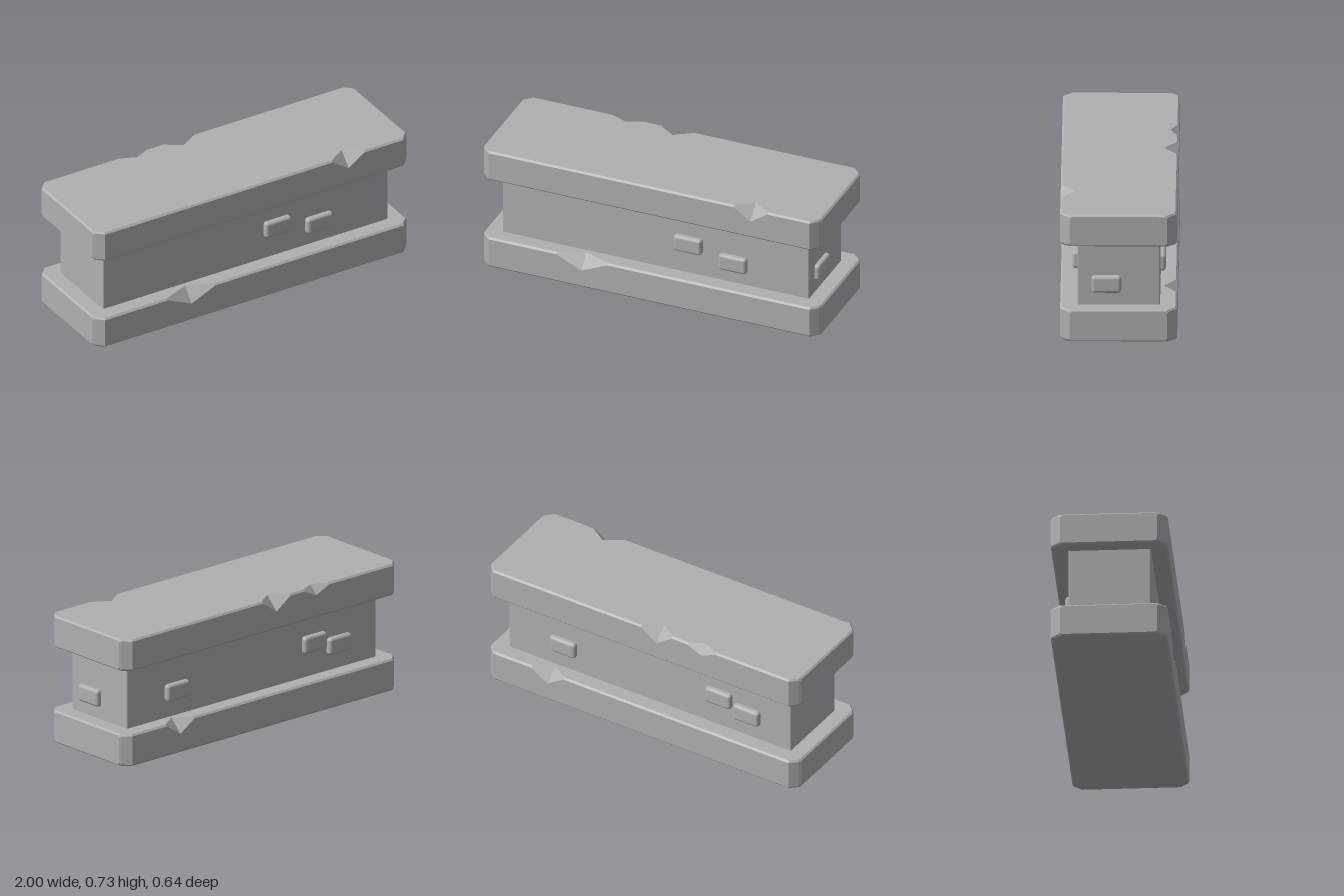
import * as THREE from 'three';
import { RoundedBoxGeometry } from 'three/addons/geometries/RoundedBoxGeometry.js';

const BEVEL = 0.01, CHAMFER = 0.05, HALF_X = 1, HALF_Z = 0.318;

// Slab lofted along x from eight-point sections; chips are deeper cuts in a top edge.
// chip: { x, w: half width, dy: drop, dz: inset, side: +1 front / -1 back }
function slabGeometry(y0, y1, chips) {
  const stations = [-HALF_X, -HALF_X + BEVEL, -HALF_X + CHAMFER, HALF_X - CHAMFER, HALF_X - BEVEL, HALF_X];
  chips.forEach(c => stations.push(c.x - c.w, c.x, c.x + c.w));
  stations.sort((a, b) => a - b);

  const cut = (x, side) => {
    let dy = BEVEL, dz = BEVEL;
    for (const c of chips) {
      if (c.side !== side) continue;
      const t = Math.max(0, 1 - Math.abs(x - c.x) / c.w);
      dy = Math.max(dy, c.dy * t);
      dz = Math.max(dz, c.dz * t);
    }
    return [dy, dz];
  };

  const sections = stations.map(x => {
    const end = Math.max(0, Math.abs(x) - (HALF_X - CHAMFER));
    const inset = Math.abs(x) === HALF_X ? BEVEL * 0.8 : 0;
    const h = HALF_Z - end - inset * 0.5, top = y1 - inset, low = y0 + inset;
    const [by, bz] = cut(x, -1), [fy, fz] = cut(x, 1);
    return [
      [top, -h + bz], [top, h - fz], [top - fy, h], [low + BEVEL, h],
      [low, h - BEVEL], [low, -h + BEVEL], [low + BEVEL, -h], [top - by, -h],
    ].map(([y, z]) => [x, y, z]);
  });

  const pos = [];
  const tri = (a, b, c) => pos.push(...a, ...b, ...c);
  for (let i = 0; i < sections.length - 1; i++) {
    const s = sections[i], n = sections[i + 1];
    for (let j = 0; j < 8; j++) {
      const k = (j + 1) % 8;
      tri(s[j], s[k], n[j]);
      tri(s[k], n[k], n[j]);
    }
  }
  const first = sections[0], last = sections[sections.length - 1];
  for (let j = 1; j < 7; j++) {
    tri(last[0], last[j], last[j + 1]);
    tri(first[0], first[j + 1], first[j]);
  }
  const g = new THREE.BufferGeometry();
  g.setAttribute('position', new THREE.Float32BufferAttribute(pos, 3));
  g.computeVertexNormals();
  return g;
}

export function createModel() {
  const model = new THREE.Group();
  model.name = 'stoneWall';
  const stone = new THREE.MeshStandardMaterial({ color: 0xb0b0b0 });
  stone.name = 'grey stone';

  const add = (name, geometry, x = 0, y = 0, z = 0) => {
    const mesh = new THREE.Mesh(geometry, stone);
    mesh.name = name;
    mesh.position.set(x, y, z);
    model.add(mesh);
  };

  // Base and cap slabs with chipped edges
  add('baseSlab', slabGeometry(0, 0.183, [
    { x: -0.4, w: 0.15, dy: 0.078, dz: 0.07, side: 1 },
    { x: 0.6, w: 0.1, dy: 0.075, dz: 0.075, side: -1 },
  ]));
  add('capSlab', slabGeometry(0.548, 0.728, [
    { x: 0.6, w: 0.1, dy: 0.078, dz: 0.075, side: 1 },
    { x: -0.1, w: 0.1, dy: 0.078, dz: 0.078, side: -1 },
    { x: -0.39, w: 0.09, dy: 0.05, dz: 0.048, side: -1 },
  ]));

  // Wall between the slabs
  add('wallCore', new RoundedBoxGeometry(1.814, 0.4, 0.45, 2, 0.008), 0, 0.366, 0);

  // Raised bricks on the wall faces
  const long = new RoundedBoxGeometry(0.165, 0.097, 0.07, 3, 0.018);
  [[0.197, 0.365], [0.462, 0.307]].forEach(([x, y]) => add('frontBrick', long, x, y, 0.22));
  [[0.55, 0.325], [-0.45, 0.37], [-0.63, 0.322]].forEach(([x, y]) => add('backBrick', long, x, y, -0.22));
  add('endBrick', new RoundedBoxGeometry(0.07, 0.097, 0.163, 3, 0.018), 0.902, 0.304, 0.067);

  return model;
}
